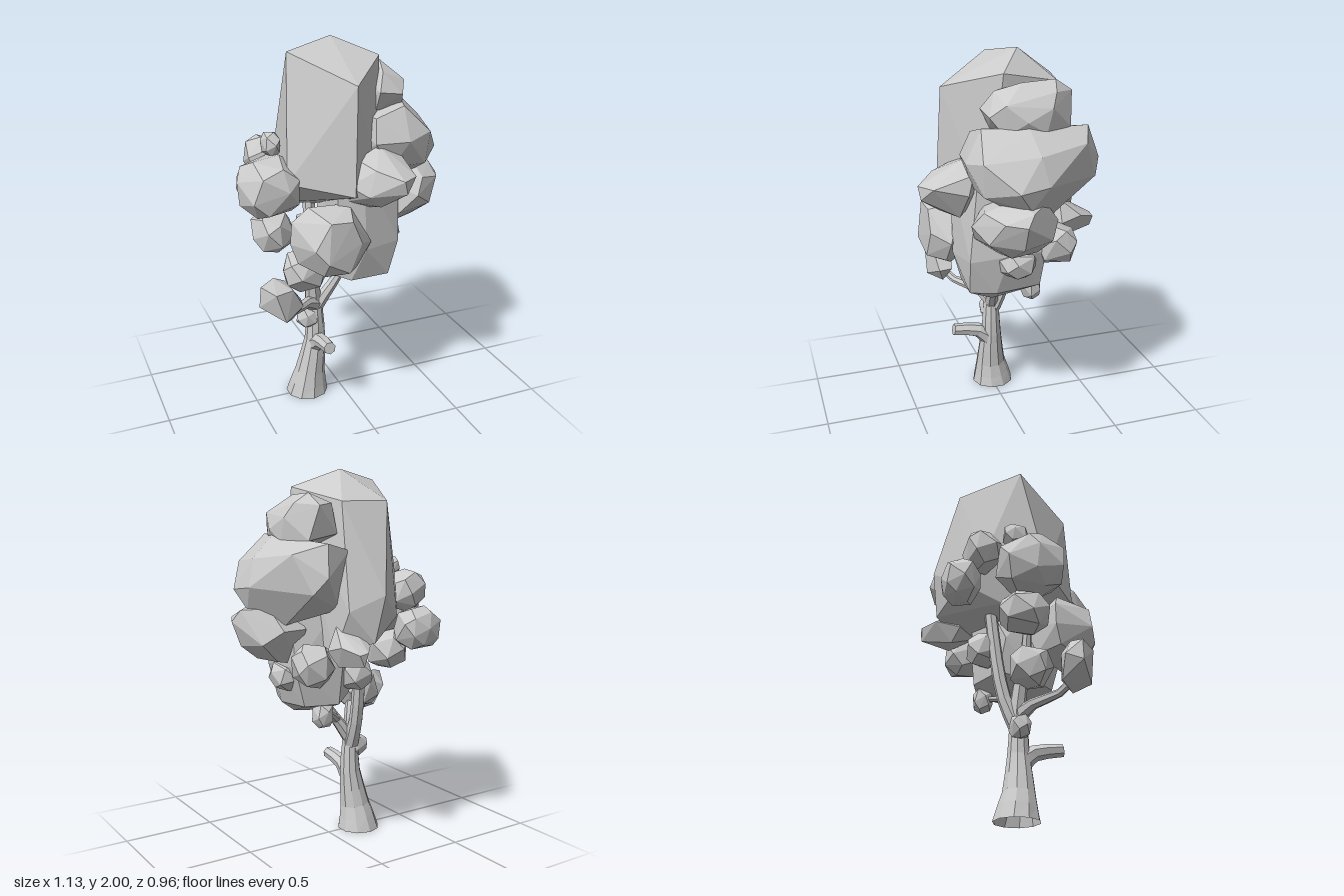
import * as THREE from 'three';
import { ConvexGeometry } from 'three/addons/geometries/ConvexGeometry.js';

const material = new THREE.MeshStandardMaterial({ color: 0xcccccc, flatShading: true });
const openMaterial = new THREE.MeshStandardMaterial({ color: 0xcccccc, flatShading: true, side: THREE.DoubleSide });
const V = (x, y, z) => new THREE.Vector3(x, y, z);
const hull = points => new ConvexGeometry(points.map(p => V(...p)));

function seeded(seed) {
  let s = seed * 7919 + 17;
  return () => (s = (s * 16807) % 2147483647) / 2147483647;
}

// Irregular faceted clump, slightly boxy, filling a box of the given centre and half sizes
function clump([x, y, z, rx, ry, rz], seed) {
  const rand = seeded(seed + 1), count = rx > 0.12 ? 24 : 18, points = [];
  const swell = c => Math.sign(c) * Math.abs(c) ** 0.85;
  for (let i = 0; i < count; i++) {
    const h = 1 - (2 * (i + 0.5)) / count;
    const a = i * 2.39996 + seed + rand() * 0.5;
    const r = Math.sqrt(1 - h * h);
    points.push(V(swell(r * Math.cos(a)), swell(h), swell(r * Math.sin(a))));
  }
  const box = new THREE.Box3().setFromPoints(points);
  const mid = box.getCenter(V()), size = box.getSize(V());
  points.forEach(p => p.sub(mid).divide(size).multiply(V(2 * rx, 2 * ry, 2 * rz)).add(V(x, y, z)));
  return new ConvexGeometry(points);
}

// Tapered limb: rows of [x, y, z, radius], a cylinder bent along them
function limb(rows, sides, open) {
  const curve = new THREE.CatmullRomCurve3(rows.map(r => V(r[0], r[1], r[2])));
  const steps = (rows.length - 1) * 2;
  const geometry = new THREE.CylinderGeometry(1, 1, 1, sides, steps, open);
  const pos = geometry.attributes.position, p = V();
  const frames = [];
  const q = new THREE.Quaternion(), up = V(0, 1, 0);
  for (let i = 0; i <= steps; i++) {
    const t = i / steps, k = Math.min(Math.floor(i / 2), rows.length - 2), f = i / 2 - k;
    q.setFromUnitVectors(up, curve.getTangent(t).normalize());
    frames.push({ c: curve.getPoint(t), q: q.clone(), r: THREE.MathUtils.lerp(rows[k][3], rows[k + 1][3], f) });
  }
  // The foot of an upright limb stays level
  if (rows[0][1] === 0) frames[0].q.identity();
  for (let i = 0; i < pos.count; i++) {
    p.fromBufferAttribute(pos, i);
    const { c, q: turn, r } = frames[Math.round((p.y + 0.5) * steps)];
    p.y = 0;
    p.multiplyScalar(r).applyQuaternion(turn).add(c);
    pos.setXYZ(i, p.x, p.y, p.z);
  }
  geometry.computeVertexNormals();
  return geometry;
}

export function createModel() {
  const tree = new THREE.Group();
  tree.name = 'tree';
  const foliage = new THREE.Group();
  foliage.name = 'foliage';
  tree.add(foliage);
  const add = (name, geometry, parent = tree, mat = material) => {
    const mesh = new THREE.Mesh(geometry, mat);
    mesh.name = name;
    parent.add(mesh);
  };

  // Flared trunk, open at the foot, and its limbs
  add('trunk', limb([
    [-0.195, 0, -0.01, 0.118], [-0.18, 0.14, 0.005, 0.084], [-0.15, 0.34, 0.01, 0.058],
    [-0.15, 0.5, 0.01, 0.047], [-0.15, 0.62, 0, 0.04]], 10, true), tree, openMaterial);
  const limbs = {
    frontStub: [[-0.15, 0.31, 0.03, 0.05], [-0.15, 0.36, 0.09, 0.042], [-0.15, 0.385, 0.235, 0.034]],
    sideBranch: [[-0.15, 0.55, 0.01, 0.045], [-0.22, 0.595, 0.07, 0.03], [-0.33, 0.62, 0.18, 0.022], [-0.41, 0.68, 0.24, 0.02]],
    innerBranch: [[-0.15, 0.52, 0.01, 0.04], [-0.09, 0.61, 0.02, 0.034], [-0.02, 0.71, 0.03, 0.026], [0.04, 0.85, 0.04, 0.02]],
    backBranch: [[-0.15, 0.5, 0, 0.045], [-0.14, 0.64, -0.06, 0.038], [-0.13, 0.85, -0.1, 0.036], [-0.12, 1.2, -0.14, 0.034]],
    upperBranch: [[-0.15, 0.55, 0, 0.045], [-0.165, 0.7, 0.015, 0.04], [-0.2, 0.85, 0.04, 0.03], [-0.24, 1.1, 0.04, 0.02]],
    lowTwig: [[-0.07, 0.64, 0.02, 0.022], [0.03, 0.71, -0.05, 0.018], [0.12, 0.73, -0.13, 0.015]],
  };
  for (const [name, rows] of Object.entries(limbs)) add(name, limb(rows, 7, false));

  // Large angular foliage masses
  const masses = {
    crownBlock: [
      [-0.01, 2, -0.09], [-0.28, 1.95, 0], [0.2, 1.91, 0.05], [-0.03, 1.82, 0.31],
      [-0.14, 1.84, -0.32], [0.1, 1.84, -0.27], [-0.05, 1.38, -0.44], [-0.01, 1.14, -0.41],
      [0.12, 1.3, -0.37], [-0.3, 1.38, -0.2], [-0.335, 1.31, 0.13], [-0.05, 1.27, 0.34],
      [-0.22, 1.25, -0.31], [-0.26, 1.13, -0.1], [0.18, 1.2, 0.12], [0.14, 1.08, -0.27], [-0.1, 1.1, -0.1]],
    lowerBody: [
      [-0.1, 0.77, 0.12], [-0.02, 0.76, 0.22], [0.19, 0.77, 0.23], [0.16, 0.71, 0.1], [0.05, 0.72, 0],
      [0.24, 0.77, 0.1], [0.24, 0.79, -0.14], [0.06, 0.79, -0.19], [-0.08, 0.82, -0.08],
      [-0.1, 0.98, 0.2], [0.04, 0.95, 0.28], [0.24, 0.96, 0.24], [0.31, 1, 0.05], [0.3, 1, -0.15],
      [0.05, 1, -0.21], [-0.12, 1, -0.05], [-0.1, 1.4, 0.25], [0.02, 1.4, 0.28], [0.25, 1.4, 0.2],
      [0.3, 1.35, -0.1], [0, 1.4, -0.2]],
    upperClump: [
      [0.12, 1.62, 0.2], [0.28, 1.67, 0.19], [0.36, 1.67, -0.03], [0.25, 1.64, -0.38], [0.08, 1.6, -0.31],
      [0.1, 1.5, 0.25], [0.28, 1.5, 0.27], [0.42, 1.53, 0.22], [0.48, 1.56, -0.05], [0.41, 1.59, -0.31],
      [0.28, 1.48, -0.43], [0.34, 1.4, -0.39], [0.53, 1.4, 0.07], [0.52, 1.42, -0.08], [0.2, 1.36, 0.22],
      [0.4, 1.36, 0.21], [0.49, 1.3, 0], [0.36, 1.24, 0.02], [0.36, 1.23, -0.16], [0.1, 1.3, -0.25], [0.15, 1.25, 0]],
    topClump: [
      [0.2, 1.83, 0.1], [0.24, 1.87, -0.03], [0.25, 1.88, -0.2], [0.14, 1.83, -0.24], [0.24, 1.82, -0.29],
      [0.32, 1.83, -0.18], [0.36, 1.76, -0.15], [0.37, 1.7, -0.02], [0.33, 1.78, 0.08], [0.29, 1.72, 0.15],
      [0.16, 1.74, 0.16], [0.16, 1.64, 0.11], [0.32, 1.63, 0.08], [0.36, 1.64, -0.12], [0.29, 1.65, -0.27],
      [0.12, 1.68, -0.26], [0.2, 1.58, -0.05]],
    branchClump: [
      [-0.53, 0.83, 0.25], [-0.45, 0.85, 0.21], [-0.38, 0.81, 0.18], [-0.37, 0.8, 0.29], [-0.47, 0.8, 0.32],
      [-0.3, 0.7, 0.2], [-0.31, 0.69, 0.27], [-0.36, 0.61, 0.24], [-0.42, 0.64, 0.32], [-0.43, 0.65, 0.17],
      [-0.54, 0.72, 0.25], [-0.5, 0.76, 0.17]],
    frontClump: [
      [-0.07, 1.32, 0.3], [-0.01, 1.44, 0.26], [0.13, 1.49, 0.22], [0.25, 1.43, 0.22], [0.27, 1.33, 0.25],
      [0.24, 1.37, 0.42], [0.15, 1.37, 0.48], [0.17, 1.3, 0.47], [0.04, 1.41, 0.38], [0.0, 1.28, 0.39],
      [0.2, 1.2, 0.28], [0.05, 1.17, 0.23], [-0.06, 1.22, 0.24], [0.08, 1.21, 0.36], [0.1, 1.33, 0.1]],
    lowerFrontClump: [
      [-0.33, 1.12, 0.17], [-0.25, 1.2, 0.2], [-0.03, 1.2, 0.22], [-0.2, 1.17, 0.39], [-0.08, 1.16, 0.38],
      [-0.03, 1.04, 0.38], [0.06, 1, 0.29], [-0.02, 0.88, 0.3], [-0.13, 0.82, 0.25], [-0.31, 0.9, 0.2],
      [-0.34, 1, 0.17], [-0.22, 0.96, 0.41], [-0.28, 1.03, 0.38], [-0.1, 0.89, 0.39], [-0.22, 0.87, 0.34],
      [-0.2, 0.88, 0.1], [-0.15, 1.05, 0.05]],
    sideClump: [
      [0.2, 1.27, 0.15], [0.25, 1.32, 0], [0.4, 1.335, 0.06], [0.42, 1.31, -0.1], [0.53, 1.3, 0],
      [0.56, 1.24, 0.04], [0.51, 1.25, 0.14], [0.39, 1.28, 0.21], [0.34, 1.2, 0.26], [0.44, 1.13, 0.2],
      [0.51, 1.11, 0.04], [0.47, 1.13, -0.12], [0.38, 1.2, -0.18], [0.24, 1.2, -0.16], [0.4, 1.03, 0.07],
      [0.36, 1.03, -0.08], [0.26, 1.01, 0.1], [0.25, 1.01, -0.07], [0.25, 1.1, 0.22]],
    backTipClump: [
      [0.08, 1.11, -0.48], [0.13, 1.1, -0.48], [0.1, 1.04, -0.475], [0.02, 1.13, -0.41], [0.18, 1.13, -0.39],
      [0.05, 1.21, -0.3], [0.14, 1.22, -0.28], [0.19, 1.1, -0.28], [0, 1.1, -0.28], [0.04, 1.02, -0.32],
      [0.15, 1.02, -0.32], [0.1, 1.08, -0.18]],
  };
  for (const [name, points] of Object.entries(masses)) add(name, hull(points), foliage);

  // Smaller clumps: centre x, y, z and half sizes
  const clumps = {
    farClump: [-0.4, 1.28, 0.03, 0.17, 0.16, 0.18],
    farTopBud: [-0.36, 1.48, -0.04, 0.05, 0.065, 0.07],
    farBackClump: [-0.34, 1.37, -0.22, 0.105, 0.11, 0.1],
    backCornerClump: [-0.35, 1.18, -0.33, 0.125, 0.115, 0.1],
    farLowClump: [-0.38, 1.02, -0.01, 0.11, 0.11, 0.13],
    underClump: [-0.23, 0.79, 0.06, 0.12, 0.11, 0.11],
    trunkBud: [-0.19, 0.48, 0.01, 0.065, 0.065, 0.055],
    backSideClump: [0.25, 1.02, -0.22, 0.1, 0.11, 0.11],
    sideBud: [0.26, 0.94, -0.01, 0.09, 0.08, 0.11],
    lowBud: [0.12, 0.73, -0.13, 0.06, 0.07, 0.055],
    backUnderClump: [-0.06, 0.94, -0.16, 0.09, 0.09, 0.09],
  };
  Object.entries(clumps).forEach(([name, c], i) => add(name, clump(c, i), foliage));
  return tree;
}
